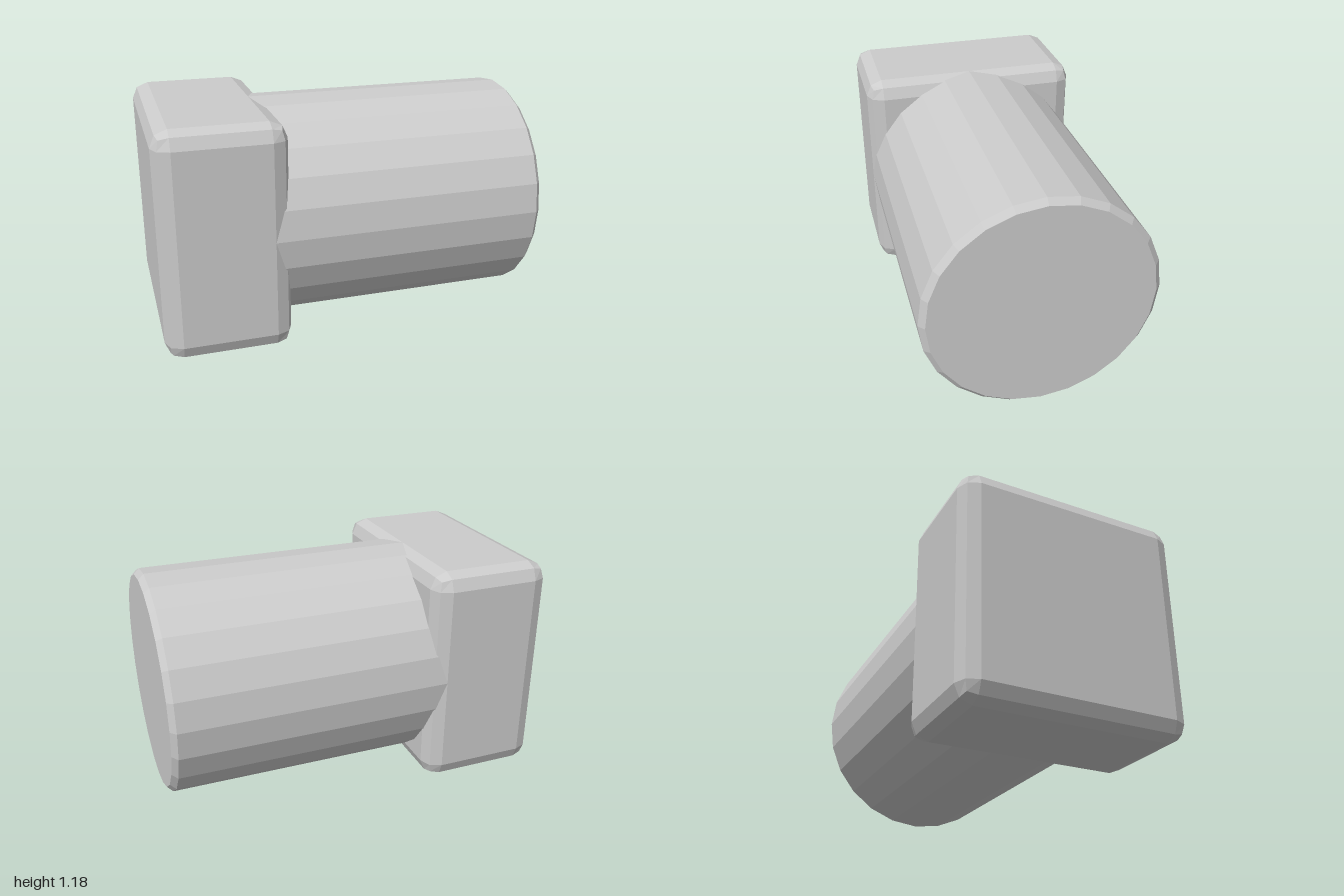
import * as THREE from 'three';
import { RoundedBoxGeometry } from 'three/addons/geometries/RoundedBoxGeometry.js';

const HALF = 0.588; // half the head width, also the shank radius

export function createModel() {
  const group = new THREE.Group();
  const material = new THREE.MeshStandardMaterial({ color: 0xcccccc, flatShading: true });

  // Square head with two-step bevelled edges
  const left = -1, right = -0.355;
  const head = new THREE.Mesh(
    new RoundedBoxGeometry(right - left, HALF * 2, HALF * 2, 1, 0.086), material);
  head.name = 'head';
  head.position.set((left + right) / 2, HALF, 0);
  group.add(head);

  // 24-sided shank along x, chamfered at its free end and sunk into the head
  const chamfer = 0.029;
  const profile = [
    [0, -0.441], [HALF, -0.441], [HALF, 1 - chamfer], [HALF - chamfer, 1], [0, 1],
  ].map(([r, x]) => new THREE.Vector2(r, x));
  const shank = new THREE.Mesh(new THREE.LatheGeometry(profile, 24), material);
  shank.name = 'shank';
  shank.rotation.z = -Math.PI / 2;
  shank.position.y = HALF;
  group.add(shank);

  return group;
}
